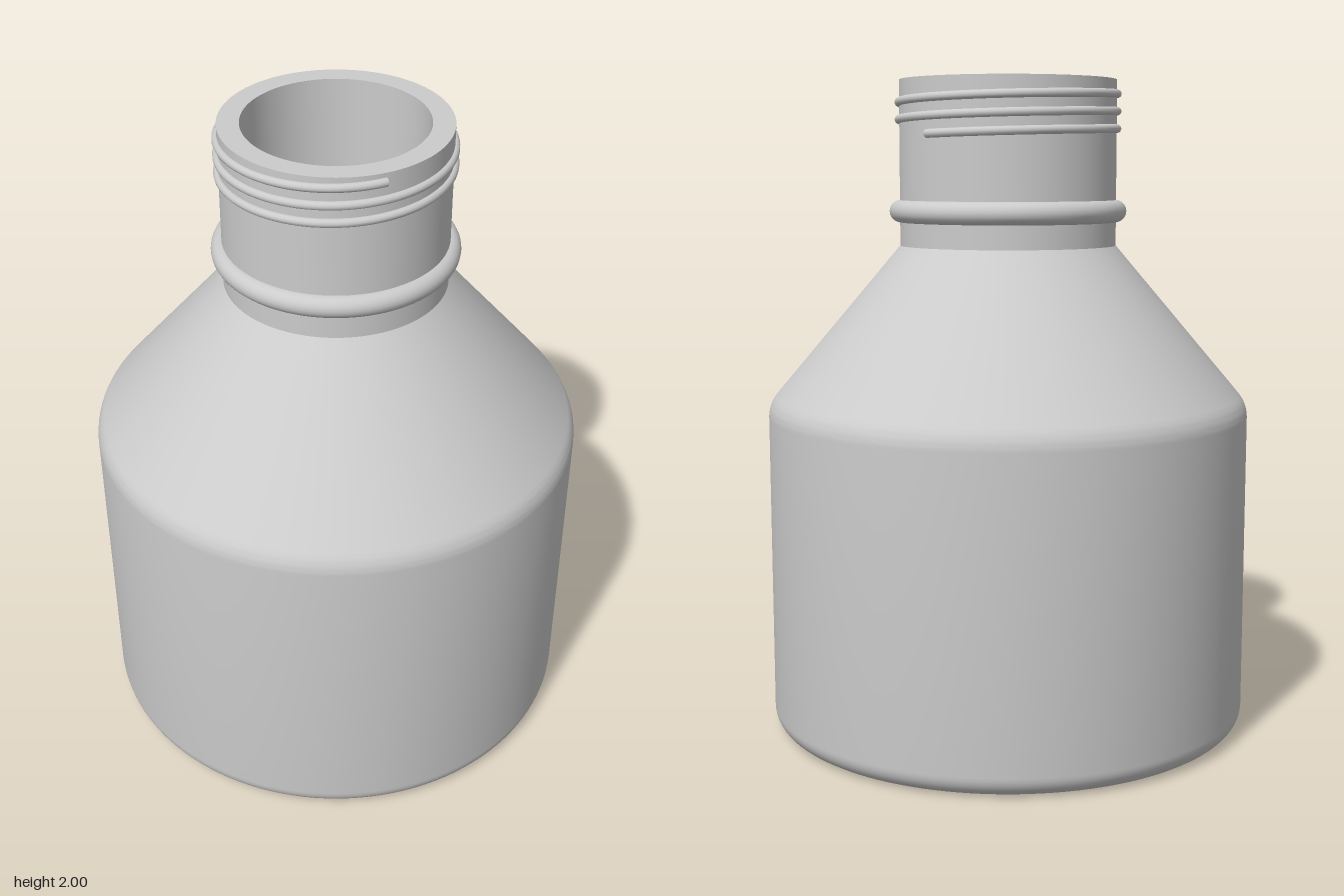
import * as THREE from 'three';
import { toCreasedNormals } from 'three/addons/utils/BufferGeometryUtils.js';

const material = new THREE.MeshStandardMaterial({ color: 0xcccccc });

// Turns corners [radius, height, fillet] into a profile with rounded corners
function filletProfile(corners, steps = 10) {
  const pts = corners.map(([x, y]) => new THREE.Vector2(x, y));
  const out = [];
  corners.forEach(([, , fillet], i) => {
    const p = pts[i];
    if (!fillet) return out.push(p);
    const a = pts[i - 1].clone().sub(p).normalize();
    const b = pts[i + 1].clone().sub(p).normalize();
    const half = Math.acos(a.dot(b)) / 2;
    const centre = a.clone().add(b).normalize().multiplyScalar(fillet / Math.sin(half)).add(p);
    const reach = fillet / Math.tan(half);
    const start = a.multiplyScalar(reach).add(p).sub(centre);
    const end = b.multiplyScalar(reach).add(p).sub(centre);
    const sweep = Math.atan2(start.cross(end), start.dot(end));
    for (let k = 0; k <= steps; k++) {
      out.push(start.clone().rotateAround(new THREE.Vector2(), sweep * k / steps).add(centre));
    }
  });
  return out;
}

// Helical centre line of the screw thread
class Helix extends THREE.Curve {
  constructor(radius, y0, y1, a0, a1) {
    super();
    Object.assign(this, { radius, y0, y1, a0, a1 });
  }
  getPoint(t, target = new THREE.Vector3()) {
    const a = THREE.MathUtils.lerp(this.a0, this.a1, t);
    return target.set(
      this.radius * Math.sin(a),
      THREE.MathUtils.lerp(this.y0, this.y1, t),
      this.radius * Math.cos(a));
  }
}

export function createModel() {
  const group = new THREE.Group();
  const add = (name, geometry) => {
    const mesh = new THREE.Mesh(geometry, material);
    mesh.name = name;
    group.add(mesh);
    return mesh;
  };

  // Hollow bottle: up the outside, over the rim, down the inside
  const profile = filletProfile([
    [0, 0],
    [0.742, 0, 0.065],
    [0.742, 1.015, 0.1],
    [0.332, 1.5],
    [0.332, 2],
    [0.268, 2],
    [0.268, 1.475],
    [0.677, 0.99, 0.05],
    [0.677, 0.065, 0.03],
    [0, 0.065],
  ]);
  add('bottle', toCreasedNormals(new THREE.LatheGeometry(profile, 128), Math.PI / 7));

  // Collar ring around the neck
  const collar = add('collarRing', new THREE.TorusGeometry(0.33, 0.034, 20, 128));
  collar.rotation.x = Math.PI / 2;
  collar.position.y = 1.605;

  // Screw thread, starting at the back and rising for 2 2/3 turns
  const tube = 0.013;
  const helix = new Helix(0.333, 1.835, 1.974, -Math.PI, Math.PI * 13 / 3);
  add('thread', new THREE.TubeGeometry(helix, 256, tube, 12));

  // Flat ends of the thread
  for (const [t, dir] of [[0, -1], [1, 1]]) {
    const cap = add('threadEnd', new THREE.CircleGeometry(tube, 12));
    const point = helix.getPoint(t);
    cap.position.copy(point);
    cap.lookAt(point.clone().addScaledVector(helix.getTangent(t), dir));
  }
  return group;
}
